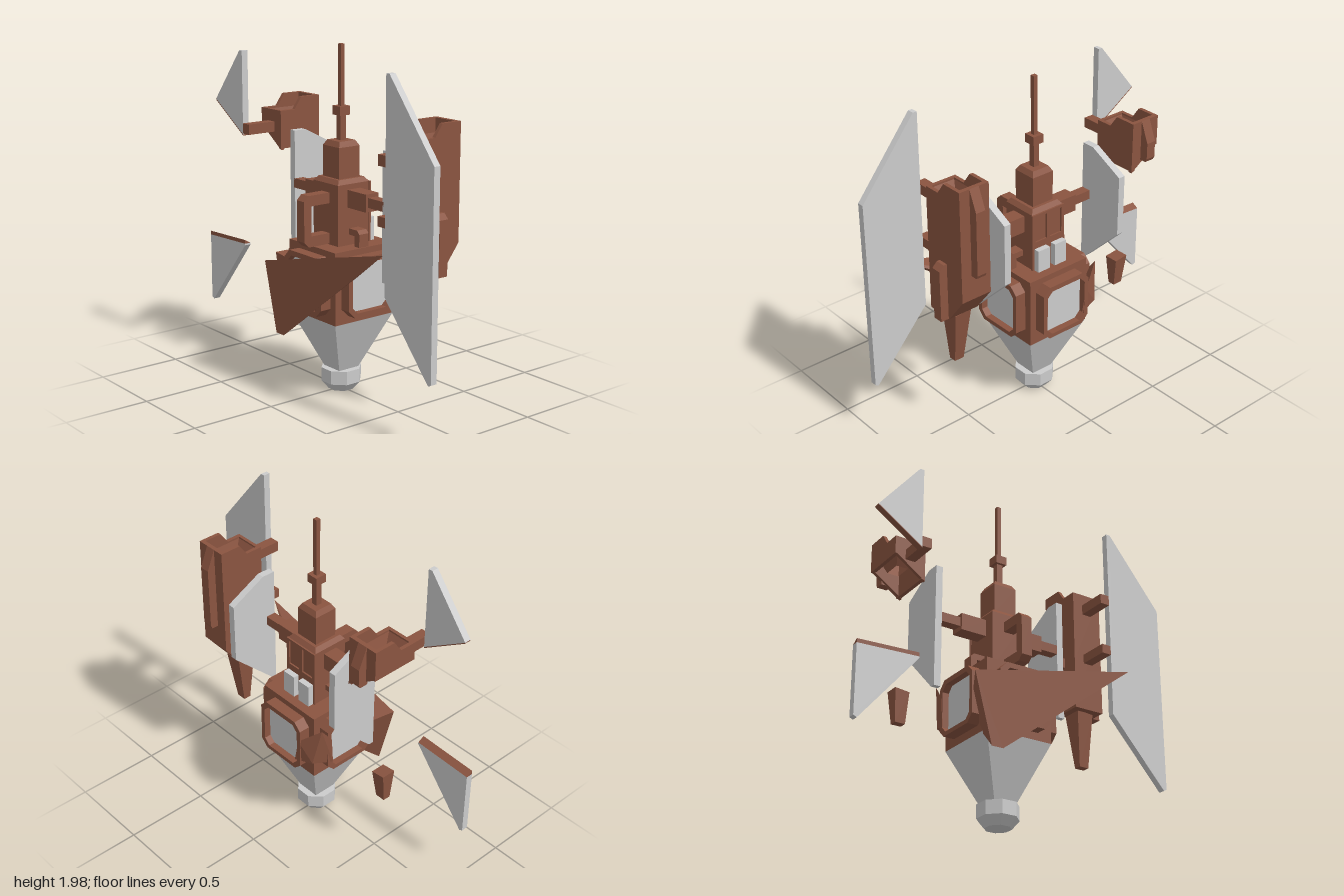
import * as THREE from 'three';
import { ConvexGeometry } from 'three/addons/geometries/ConvexGeometry.js';

const grey = new THREE.MeshStandardMaterial({ color: 0xcccccc, flatShading: true, side: THREE.DoubleSide });
const rust = new THREE.MeshStandardMaterial({ color: 0x8a5440, flatShading: true, side: THREE.DoubleSide });

const toShape = (pts) => new THREE.Shape(pts.map(([a, b]) => new THREE.Vector2(a, b)));

function octagon(w, y0, y1, c) {
  return [[-w + c, y0], [w - c, y0], [w, y0 + c], [w, y1 - c], [w - c, y1], [-w + c, y1], [-w, y1 - c], [-w, y0 + c]];
}

export function createModel() {
  const model = new THREE.Group();

  function add(name, geo, mat = rust, parent = model) {
    const m = new THREE.Mesh(geo, mat);
    m.name = name;
    parent.add(m);
    return m;
  }
  // box given by its limits
  function box(name, x0, x1, y0, y1, z0, z1, mat = rust, parent = model) {
    const g = new THREE.BoxGeometry(x1 - x0, y1 - y0, Math.abs(z1 - z0));
    g.translate((x0 + x1) / 2, (y0 + y1) / 2, (z0 + z1) / 2);
    return add(name, g, mat, parent);
  }
  // outline in (x, y), thick along z
  function plateZ(name, pts, z0, z1, mat = rust, parent = model, hole) {
    const s = toShape(pts);
    if (hole) s.holes.push(new THREE.Path(hole.map(([a, b]) => new THREE.Vector2(a, b))));
    const g = new THREE.ExtrudeGeometry(s, { depth: Math.abs(z1 - z0), bevelEnabled: false });
    g.translate(0, 0, Math.min(z0, z1));
    return add(name, g, mat, parent);
  }
  // outline in (z, y), thick along x
  function plateX(name, pts, x0, x1, mat = rust, parent = model) {
    const g = new THREE.ExtrudeGeometry(toShape(pts), { depth: x1 - x0, bevelEnabled: false });
    g.rotateY(-Math.PI / 2).translate(x1, 0, 0);
    return add(name, g, mat, parent);
  }
  // convex solid through a few corners
  const hull = (name, pts, mat = rust) =>
    add(name, new ConvexGeometry(pts.map((p) => new THREE.Vector3(...p))), mat);
  // tapered square column
  function taper(name, half0, half1, y0, y1, mat = rust, open = false) {
    const g = new THREE.CylinderGeometry(half1 * Math.SQRT2, half0 * Math.SQRT2, y1 - y0, 4, 1, open);
    g.rotateY(Math.PI / 4).translate(0, (y0 + y1) / 2, 0);
    return add(name, g, mat);
  }

  // base foot and lower cone
  const foot = new THREE.LatheGeometry(
    [[0, 0], [0.075, 0], [0.118, 0.05], [0.118, 0.13], [0, 0.13]].map(([r, y]) => new THREE.Vector2(r, y)), 8, Math.PI / 8);
  add('foot', foot, grey);
  taper('lowerCone', 0.07, 0.208, 0.13, 0.46, grey);

  // cabin with four framed windows
  box('cabin', -0.208, 0.208, 0.46, 0.875, -0.208, 0.208);
  for (let i = 0; i < 4; i++) {
    const side = new THREE.Group();
    side.name = 'window';
    side.rotation.y = (i * Math.PI) / 2;
    model.add(side);
    plateZ('windowFrame', octagon(0.165, 0.505, 0.84, 0.045), 0.2, 0.275, rust, side, octagon(0.138, 0.53, 0.81, 0.035));
    plateZ('windowGlass', octagon(0.14, 0.528, 0.812, 0.035), 0.2, 0.235, grey, side);
  }

  // tower and its details
  box('tower', -0.11, 0.11, 0.87, 1.22, -0.11, 0.11);
  taper('towerRoof', 0.11, 0.09, 1.22, 1.245);
  plateZ('towerPanelFrame', [[-0.115, 0.875], [0.115, 0.875], [0.115, 1.22], [-0.115, 1.22]], 0, 0.012, rust, model,
    [[-0.095, 1.05], [0.095, 1.05], [0.095, 1.205], [-0.095, 1.205]]).rotation.y = Math.PI / 2;
  model.children[model.children.length - 1].position.x = 0.108;
  box('panelDivider', 0.1, 0.12, 1.05, 1.205, -0.012, 0.012);
  for (const s of [-1, 1]) box('greyLocker', 0.1, 0.155, 0.875, 1.01, s * 0.06 - 0.042, s * 0.06 + 0.042, grey);
  box('upperTower', -0.072, 0.072, 1.24, 1.42, -0.072, 0.072);
  taper('upperTowerRoof', 0.072, 0.055, 1.42, 1.45);
  box('mastBase', -0.018, 0.018, 1.45, 1.59, -0.018, 0.018);
  taper('mastCollar', 0.035, 0.035, 1.59, 1.64);
  box('mast', -0.013, 0.013, 1.64, 1.98, -0.013, 0.013);

  // C-shaped pipe at the right side
  plateZ('sidePipe', [[-0.1, 1.17], [-0.255, 1.17], [-0.285, 1.14], [-0.285, 0.91], [-0.255, 0.88], [-0.1, 0.88],
    [-0.1, 0.94], [-0.235, 0.94], [-0.235, 1.11], [-0.1, 1.11]], -0.033, 0.033);

  // pipes, arms and hexagon panels on both ends
  for (const s of [-1, 1]) {
    plateX('smallPipe', [[0.1, 0.97], [0.18, 0.97], [0.2, 0.95], [0.2, 0.87], [0.16, 0.87], [0.16, 0.935], [0.1, 0.935]]
      .map(([z, y]) => [s * z, y]), -0.033, 0.033);
    box('armSleeve', -0.045, 0.045, 1.09, 1.19, s * 0.1, s * 0.27);
    box('arm', -0.03, 0.03, 1.115, 1.17, s * 0.25, s * 0.4);
    plateZ('hexPanel', [[-0.03, 0.72], [0, 0.72], [0.265, 0.98], [0.265, 1.34], [0.05, 1.45], [-0.03, 1.45]],
      s * 0.39, s * 0.432, grey);
  }

  // open upper part of an engine pod; bottom(z) gives its lower edge
  function podShell(zc, bottom) {
    const z0 = zc - 0.095, z1 = zc + 0.095, t = 0.022;
    for (const [a, b] of [[z0, z0 + t], [z1 - t, z1]]) {
      const y = bottom((a + b) / 2);
      plateZ('podWall', [[-0.04, y], [0.24, y], [0.24, 1.62], [0.11, 1.62], [0.06, 1.55], [-0.04, 1.55]], a, b);
    }
    for (const [x0, x1, top] of [[-0.04, -0.02, 1.55], [0.215, 0.24, 1.62]])
      plateX('podSide', [[z0, bottom(z0)], [z1, bottom(z1)], [z1, top], [z0, top]], x0, x1);
    plateZ('podFin', [[0.23, bottom(zc)], [0.28, bottom(zc)], [0.29, bottom(zc) + 0.02], [0.29, 1.5], [0.24, 1.62], [0.23, 1.62]],
      zc - 0.03, zc + 0.03);
    // funnel inside the opening
    const ring = (xa, xb, h, y) => [[xa, y, zc - h], [xb, y, zc - h], [xb, y, zc + h], [xa, y, zc + h]];
    const pos = [...ring(-0.02, 0.215, 0.073, 1.54), ...ring(0.05, 0.155, 0.035, 1.42)].flat();
    const index = [];
    for (let i = 0; i < 4; i++) {
      const j = (i + 1) % 4;
      index.push(i, i + 4, j, j, i + 4, j + 4);
    }
    const g = new THREE.BufferGeometry();
    g.setAttribute('position', new THREE.Float32BufferAttribute(pos, 3));
    g.setIndex(index);
    g.computeVertexNormals();
    add('podFunnel', g);
    box('upperStrut', -0.22, -0.03, 1.42, 1.48, zc - 0.03, zc + 0.03);
  }

  // whole engine pod at the front
  podShell(0.605, () => 1.11);
  plateZ('podBody', [[-0.04, 0.81], [0.12, 0.81], [0.24, 0.965], [0.24, 1.38], [-0.04, 1.38]], 0.51, 0.70);
  plateX('podRib', [[0.69, 0.81], [0.75, 0.81], [0.75, 1.12], [0.72, 1.15], [0.69, 1.15]], 0.055, 0.115);
  box('lowerStrut', -0.22, -0.03, 1.1, 1.155, 0.575, 0.635);
  box('podConnector', 0.055, 0.115, 1.09, 1.15, 0.43, 0.52);

  // tapered spike under each pod, the rear one snapped off
  const spike = (name, z, top, x0, x1, h) => hull(name, [
    ...[-1, 1].flatMap((s) => [[0.025, 0.48, z + s * 0.03], [0.07, 0.48, z + s * 0.03]]),
    [x0, top, z - h], [x1, top, z - h], [x0, top - 0.01, z + h], [x1, top - 0.01, z + h]]);
  spike('podSpike', 0.605, 0.815, 0, 0.12, 0.053);
  spike('brokenSpike', -0.6, 0.67, 0.01, 0.095, 0.043);

  // broken engine pod at the back
  podShell(-0.605, (z) => 1.32 + ((-0.51 - z) / 0.19) * 0.13);

  // big wing panel at the front and its remains at the back
  plateX('wingPanel', [[0.635, 1.9], [0.66, 1.9], [1, 1.48], [1, 0.35], [0.98, 0.34], [0.635, 0.73]], -0.22, -0.18, grey);
  plateX('wingShardTop', [[-0.635, 1.9], [-0.66, 1.9], [-0.91, 1.592], [-0.635, 1.415]], -0.22, -0.18, grey);
  plateX('wingShardTopEdge', [[-0.635, 1.415], [-0.91, 1.592], [-0.908, 1.585], [-0.635, 1.408]], -0.22, -0.18);
  plateX('wingShardLow', [[-0.635, 0.76], [-1, 0.745], [-1, 0.35], [-0.98, 0.34], [-0.635, 0.75]], -0.22, -0.18, grey);
  hull('wingShardLowEdge', [[-0.18, 0.76, -0.635], [-0.22, 0.76, -0.635], [-0.22, 0.783, -0.635],
    [-0.18, 0.745, -1], [-0.22, 0.745, -1], [-0.22, 0.768, -1]]);

  // large splinter driven into the cabin, and its tip coming out
  hull('splinter', [[-0.29, 0.98, 0.7], [-0.29, 0.33, -0.16], [-0.29, 0.33, -0.23], [-0.29, 0.735, -0.335],
    [0.03, 0.6, 0.01], [0.03, 0.62, -0.16]]);
  hull('splinterTip', [[0.21, 0.83, -0.275], [0.275, 0.57, -0.12], [0.275, 0.72, -0.15], [0.25, 0.6, -0.24],
    [0.13, 0.57, -0.28], [0.14, 0.74, -0.28]]);

  return model;
}
